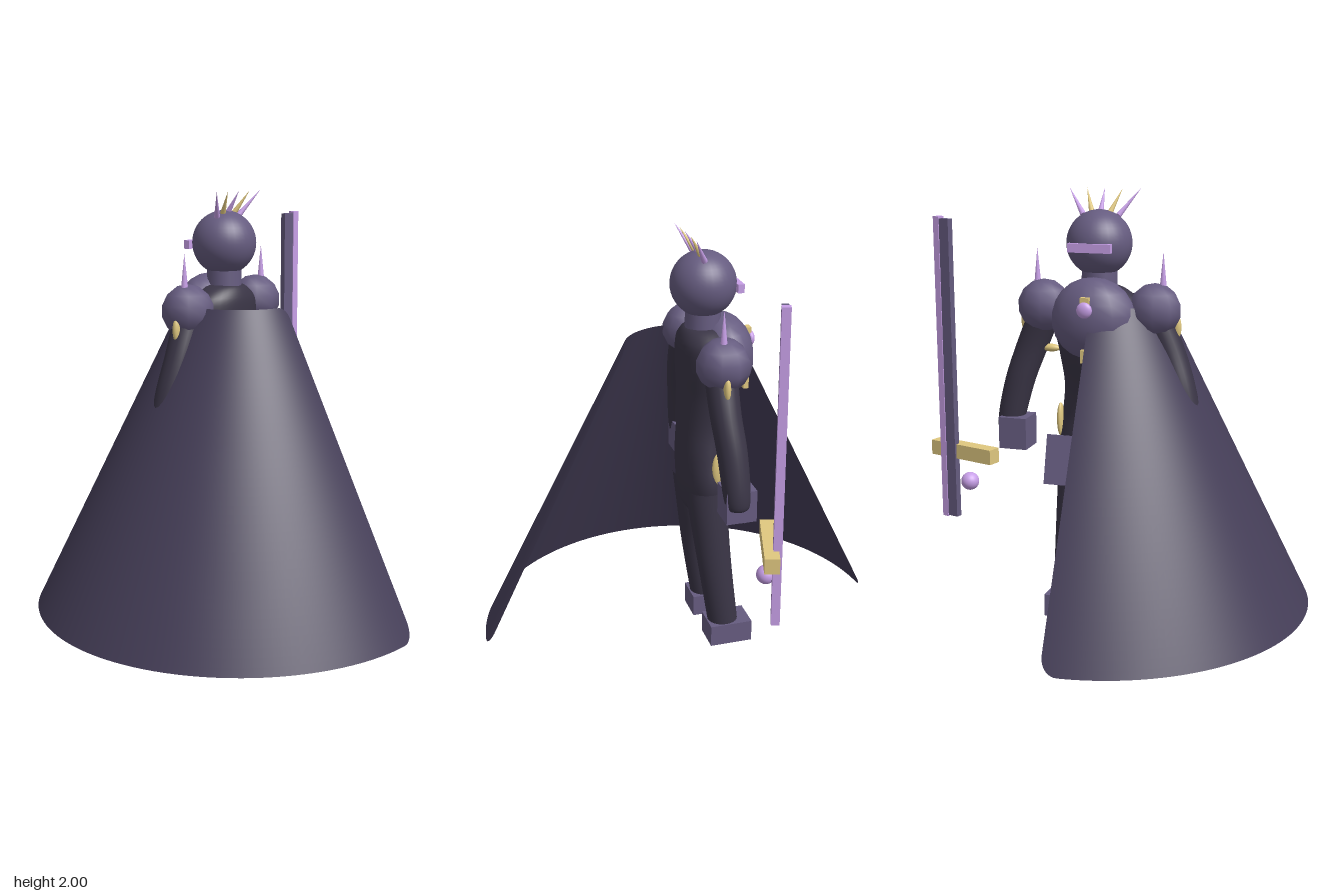
import * as THREE from 'three';

const CX = 0.07; // the figure's own centre line
const mat = (color, side = THREE.FrontSide) => new THREE.MeshStandardMaterial({ color, side });
const skin = mat(0x3a3546), armor = mat(0x665c80), violet = mat(0xc8a0e8), gold = mat(0xe0c880);
const cloth = mat(0x453e58, THREE.DoubleSide);

export function createModel() {
  const root = new THREE.Group();

  const add = (name, geo, material, x, y, z) => {
    const m = new THREE.Mesh(geo, material);
    m.name = name;
    m.position.set(x, y, z);
    root.add(m);
    return m;
  };
  const box = (name, material, x, y, z, w, h, d) => add(name, new THREE.BoxGeometry(w, h, d), material, x, y, z);
  const ball = (name, material, x, y, z, rx, ry = rx, rz = rx, seg = 24) => {
    const m = add(name, new THREE.SphereGeometry(1, seg, Math.round(seg * 0.75)), material, x, y, z);
    m.scale.set(rx, ry, rz);
    return m;
  };

  // Smooth body part through horizontal sections [x, y, z, rx, rz], bottom to top
  const loft = (name, sections, material, steps = 28, sides = 24) => {
    const centre = new THREE.CatmullRomCurve3(sections.map(s => new THREE.Vector3(s[0], s[1], s[2])));
    const radii = new THREE.CatmullRomCurve3(sections.map(s => new THREE.Vector3(s[3], s[4], s[1])));
    const pos = [], idx = [];
    for (let i = 0; i <= steps; i++) {
      const c = centre.getPoint(i / steps), r = radii.getPoint(i / steps);
      for (let j = 0; j < sides; j++) {
        const a = (j / sides) * Math.PI * 2;
        pos.push(c.x + r.x * Math.cos(a), c.y, c.z + r.y * Math.sin(a));
        if (i === steps) continue;
        const A = i * sides + j, B = i * sides + (j + 1) % sides;
        idx.push(A, A + sides, B, B, A + sides, B + sides);
      }
    }
    const geo = new THREE.BufferGeometry();
    geo.setAttribute('position', new THREE.Float32BufferAttribute(pos, 3));
    geo.setIndex(idx);
    geo.computeVertexNormals();
    return add(name, geo, material, 0, 0, 0);
  };

  // Cone from one point to another
  const spike = (name, material, from, to, r) => {
    const a = new THREE.Vector3(...from), b = new THREE.Vector3(...to);
    const dir = b.clone().sub(a), mid = a.add(b).multiplyScalar(0.5);
    const m = add(name, new THREE.ConeGeometry(r, dir.length(), 8), material, mid.x, mid.y, mid.z);
    m.quaternion.setFromUnitVectors(new THREE.Vector3(0, 1, 0), dir.normalize());
  };

  // Torso, neck and head
  loft('torso', [
    [CX, 0.64, -0.08, 0.06, 0.05], [CX, 0.70, -0.08, 0.16, 0.09], [CX, 0.82, -0.08, 0.2, 0.105],
    [CX, 0.96, -0.075, 0.185, 0.105], [CX, 1.1, -0.085, 0.17, 0.11], [CX, 1.25, -0.105, 0.185, 0.13],
    [CX, 1.4, -0.11, 0.21, 0.14], [CX, 1.5, -0.1, 0.19, 0.125], [CX, 1.56, -0.09, 0.1, 0.08],
    [CX, 1.57, -0.09, 0.01, 0.01]], skin, 48, 32);
  ball('chestArmor', armor, CX, 1.42, -0.18, 0.2, 0.19, 0.14, 14);
  add('neck', new THREE.CylinderGeometry(0.08, 0.085, 0.16, 20), armor, CX, 1.56, -0.09);
  ball('head', armor, CX, 1.755, -0.09, 0.15, 0.15, 0.15, 32);
  box('visor', violet, CX, 1.745, -0.235, 0.2, 0.04, 0.03);

  // Crown of alternating spikes
  for (let i = -2; i <= 2; i++) {
    spike('crownSpike', i % 2 ? gold : violet,
      [CX + i * 0.042, 1.895 - Math.abs(i) * 0.008, -0.068], [CX + i * 0.085, 1.995, -0.005], 0.014);
  }

  // Chest ornaments
  box('chestClasp', gold, CX, 1.515, -0.3, 0.04, 0.04, 0.03);
  ball('chestGem', violet, CX, 1.48, -0.315, 0.036, 0.036, 0.02);
  box('chestBadge', gold, CX, 1.27, -0.295, 0.045, 0.06, 0.025);

  // Hip plate across the front of the thighs
  box('hipPlate', armor, CX, 0.76, -0.23, 0.43, 0.23, 0.05).rotation.x = 0.25;

  // Paired limbs and armour
  for (const s of [-1, 1]) {
    const X = d => CX + s * d;
    loft('leg', [[X(0.145), 0.08, -0.158, 0.068, 0.072], [X(0.14), 0.4, -0.115, 0.072, 0.08],
      [X(0.12), 0.6, -0.095, 0.088, 0.088], [X(0.1), 0.8, -0.08, 0.1, 0.1]], skin);
    box('foot', armor, X(0.145), 0.0525, -0.178, 0.15, 0.105, 0.205);
    loft('arm', [[X(0.432), 0.835, -0.118, 0.02, 0.02], [X(0.438), 0.85, -0.118, 0.05, 0.05],
      [X(0.435), 0.9, -0.116, 0.062, 0.06], [X(0.39), 1.1, -0.105, 0.072, 0.068],
      [X(0.33), 1.27, -0.09, 0.078, 0.07], [X(0.25), 1.46, -0.09, 0.08, 0.075]], skin);
    box('hand', armor, X(0.398), 0.86, -0.13, 0.135, 0.15, 0.14);
    ball('shoulderPad', armor, X(0.265), 1.462, -0.1, 0.122, 0.122, 0.122, 9);
    spike('shoulderSpike', violet, [X(0.3), 1.55, -0.09], [X(0.3), 1.725, -0.09], 0.018);
    ball('shoulderTrim', gold, X(0.365), 1.385, -0.087, 0.02, 0.055, 0.016);
    ball('ribTrim', gold, X(0.235), 1.262, -0.1, 0.045, 0.018, 0.02);
    ball('hipTrim', gold, X(0.188), 0.925, -0.11, 0.016, 0.08, 0.03);
  }

  // Floating sword, turned slightly about its length
  const turn = -0.29;
  box('blade', armor, 0.778, 1.143, -0.205, 0.065, 1.425, 0.03).rotation.y = turn;
  box('bladeEdge', violet, 0.814, 1.145, -0.194, 0.032, 1.44, 0.038).rotation.y = turn;
  box('swordGuard', gold, 0.715, 0.755, -0.195, 0.36, 0.07, 0.066).rotation.y = turn;
  ball('pommel', violet, 0.695, 0.605, -0.19, 0.043);

  // Half-cone cloak with rounded corners, open toward +x
  const cols = 96, rows = 40, pos = [], idx = [];
  const corner = (t, width, r) => t >= width ? 0 : r * (1 - Math.sqrt(1 - (1 - t / width) ** 2));
  for (let i = 0; i <= cols; i++) {
    const phi = (Math.PI / 2) * (1 - Math.cos((Math.PI * i) / cols)); // denser toward both edges
    const t = Math.min(phi, Math.PI - phi);
    const low = 0.04 + corner(t, 0.08, 0.08), high = 1.48 - corner(t, 0.2, 0.05);
    for (let j = 0; j <= rows; j++) {
      const y = low + (high - low) * j / rows;
      const r = THREE.MathUtils.mapLinear(y, 0.04, 1.48, 0.97, 0.265);
      pos.push(0.06 - r * Math.sin(phi), y, r * Math.cos(phi));
      if (i === cols || j === rows) continue;
      const a = i * (rows + 1) + j, b = a + rows + 1;
      idx.push(a, a + 1, b, b, a + 1, b + 1);
    }
  }
  const cloak = new THREE.BufferGeometry();
  cloak.setAttribute('position', new THREE.Float32BufferAttribute(pos, 3));
  cloak.setIndex(idx);
  cloak.computeVertexNormals();
  add('cloak', cloak, cloth, 0, 0, 0);

  return root;
}
